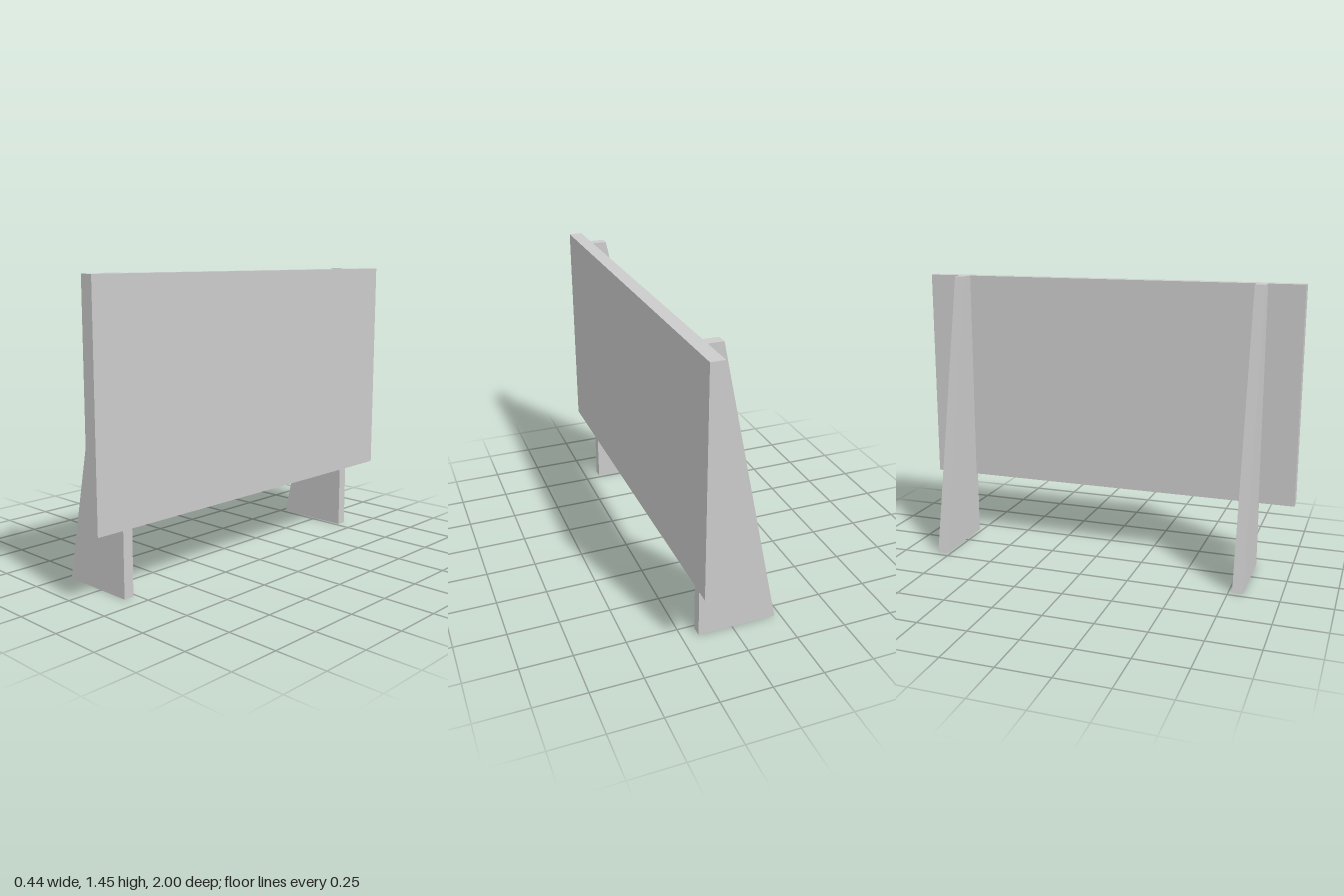
import * as THREE from 'three';

const HEIGHT = 1.445;        // overall height
const PANEL_BOTTOM = 0.34;   // lower edge of the board
const PANEL_BACK = 0.153;    // rear face of the board
const PANEL_FRONT = 0.22;    // outer face of the board
const LEG_THICKNESS = 0.052;

export function createModel() {
  const model = new THREE.Group();
  model.name = 'boardOnLegs';
  const material = new THREE.MeshStandardMaterial({ color: 0xcccccc, flatShading: true });

  // Upright rectangular board
  const panel = new THREE.Mesh(
    new THREE.BoxGeometry(PANEL_FRONT - PANEL_BACK, HEIGHT - PANEL_BOTTOM, 2),
    material
  );
  panel.name = 'panel';
  panel.position.set((PANEL_BACK + PANEL_FRONT) / 2, (HEIGHT + PANEL_BOTTOM) / 2, 0);
  model.add(panel);

  // Tapered support, notched where the board rests on it
  const profile = new THREE.Shape([
    [-0.222, 0],
    [0.17, 0],
    [0.17, PANEL_BOTTOM],
    [PANEL_BACK, PANEL_BOTTOM],
    [PANEL_BACK, HEIGHT],
    [0.08, HEIGHT],
  ].map(([x, y]) => new THREE.Vector2(x, y)));
  const legGeometry = new THREE.ExtrudeGeometry(profile, { depth: LEG_THICKNESS, bevelEnabled: false });
  legGeometry.translate(0, 0, -LEG_THICKNESS / 2);

  // One support near each end
  for (const [name, side] of [['frontLeg', 1], ['backLeg', -1]]) {
    const leg = new THREE.Mesh(legGeometry, material);
    leg.name = name;
    leg.position.z = side * 0.794;
    model.add(leg);
  }

  return model;
}
